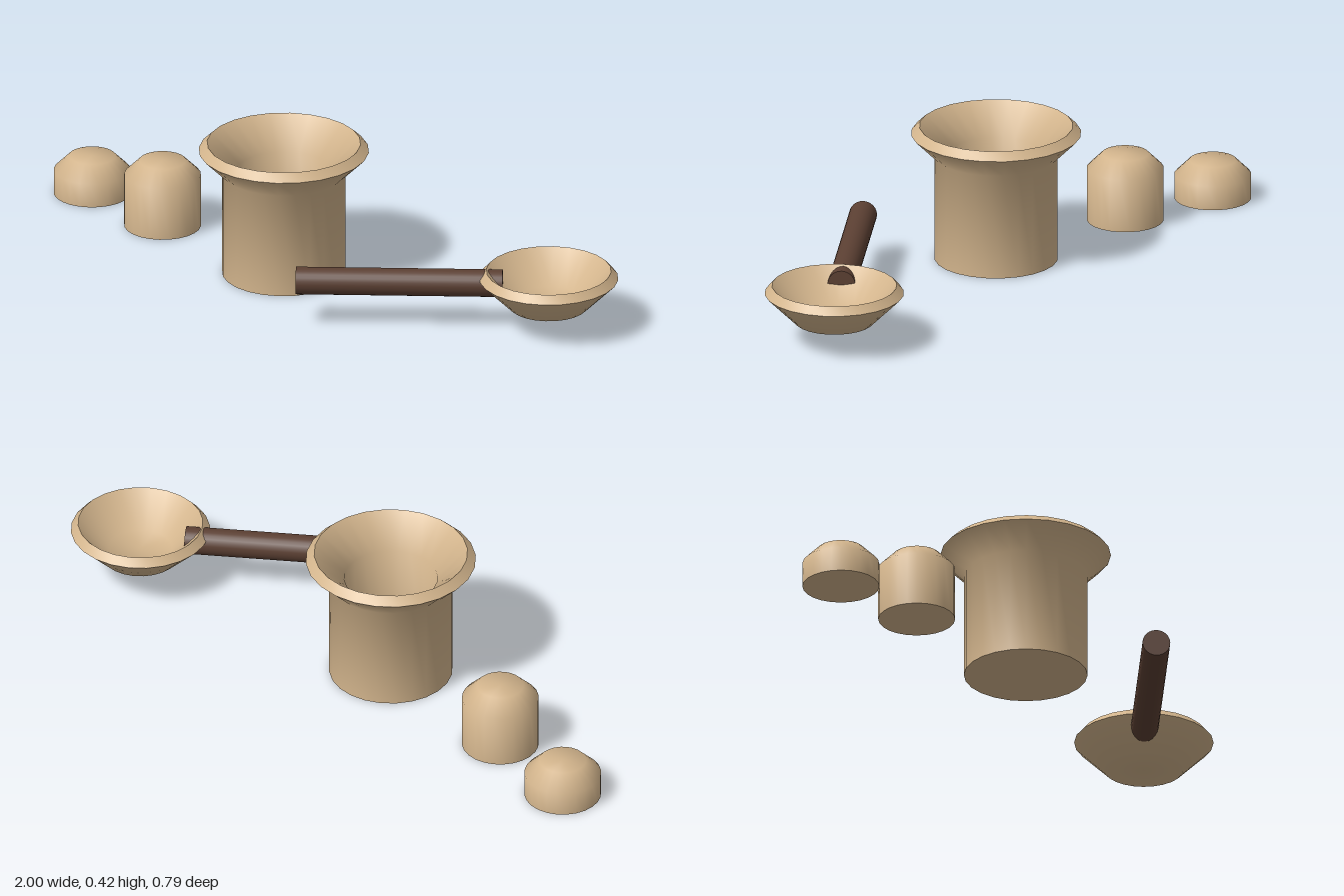
import * as THREE from 'three';
import { toCreasedNormals } from 'three/addons/utils/BufferGeometryUtils.js';

const clay = new THREE.MeshStandardMaterial({ color: 0xd2b48c });
clay.name = 'tan clay';
const wood = new THREE.MeshStandardMaterial({ color: 0x5c4033 });
wood.name = 'dark wood';

// Closed turned solid: profile of [radius, height] from the bottom centre to the top centre
function turned(name, profile, x, z) {
  const points = profile.map(([r, y]) => new THREE.Vector2(r, y));
  const geometry = toCreasedNormals(new THREE.LatheGeometry(points, 24), 1.0);
  const mesh = new THREE.Mesh(geometry, clay);
  mesh.name = name;
  mesh.position.set(x, 0, z);
  return mesh;
}

// Short cylinder with a chamfered top
function stopper(name, height, x) {
  return turned(name, [[0, 0], [0.115, 0], [0.115, height - 0.045], [0.07, height], [0, height]], x, 0.18);
}

export function createModel() {
  const model = new THREE.Group();

  // Jar with flared rim, funnel mouth and deep bore
  model.add(turned('jar', [
    [0, 0], [0.185, 0], [0.185, 0.326], [0.255, 0.396], [0.23, 0.42],
    [0.14, 0.33], [0.14, 0.046], [0, 0.046],
  ], -0.05, 0.138));

  model.add(stopper('shortStopper', 0.12, -0.885));
  model.add(stopper('tallStopper', 0.21, -0.56));

  // Ladle: shallow bowl and a round handle that pierces its wall
  const ladle = new THREE.Group();
  ladle.name = 'ladle';
  const bowlX = 0.79, bowlZ = -0.187;
  ladle.add(turned('bowl', [
    [0, 0.072], [0.117, 0.072], [0.2085, 0.163], [0.187, 0.187], [0.095, 0.095], [0, 0.095],
  ], bowlX, bowlZ));

  const start = new THREE.Vector3(0.275, 0.141, 0.367);
  const end = new THREE.Vector3(0.692, 0.141, -0.09);
  const direction = end.clone().sub(start);
  const handle = new THREE.Mesh(new THREE.CylinderGeometry(0.0415, 0.0415, direction.length(), 24), wood);
  handle.name = 'handle';
  handle.position.copy(start).add(end).multiplyScalar(0.5);
  handle.quaternion.setFromUnitVectors(new THREE.Vector3(0, 1, 0), direction.normalize());
  ladle.add(handle);
  model.add(ladle);

  return model;
}
